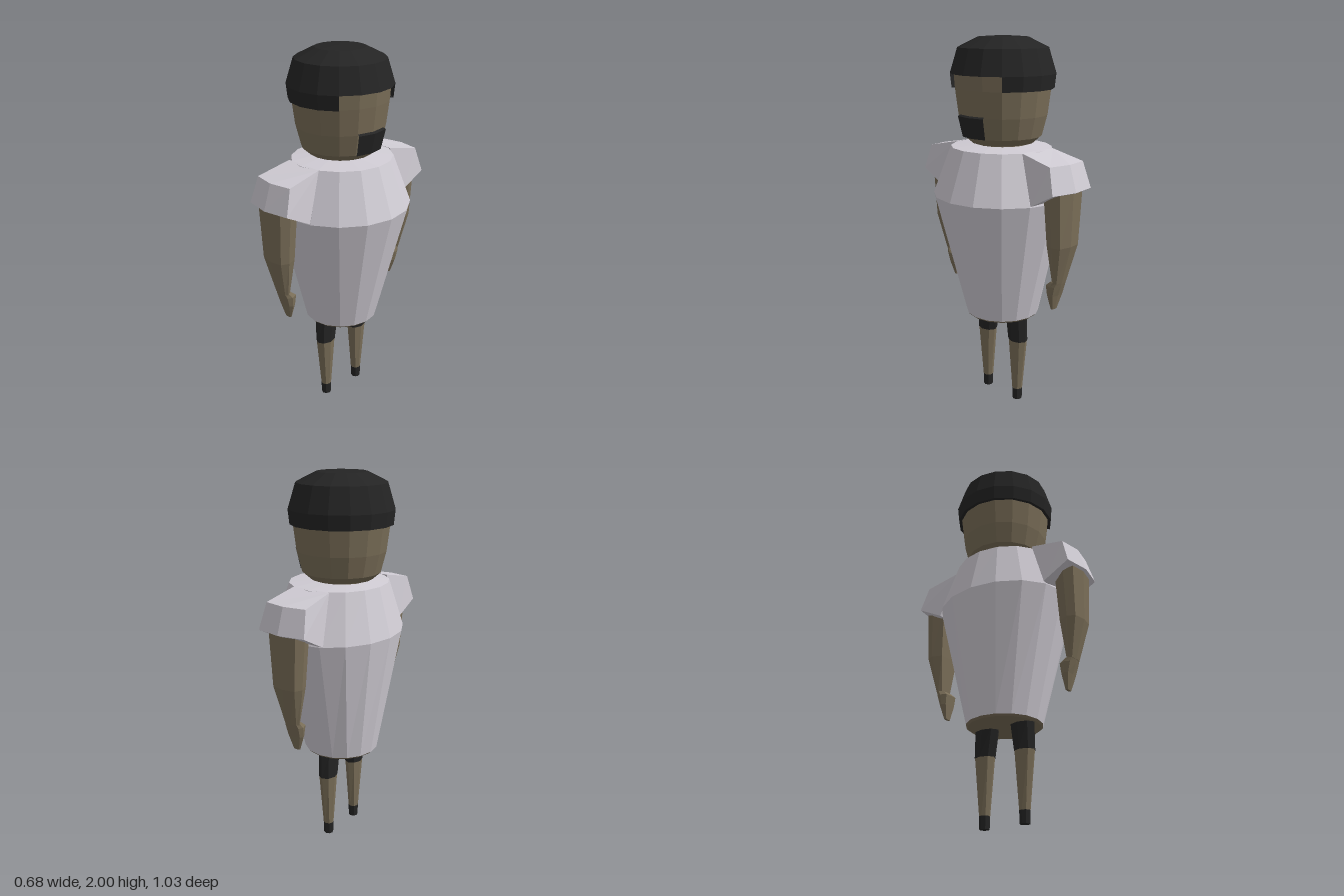
import * as THREE from 'three';

const mat = (color) => new THREE.MeshStandardMaterial({ color, flatShading: true, roughness: 0.9, side: THREE.DoubleSide });

// Joins rings of points (bottom to top) into a faceted skin, with optional end caps.
function loft(rings, { closed = true, caps = true } = {}) {
  const pos = [];
  const tri = (a, b, c) => pos.push(...a, ...b, ...c);
  const n = rings[0].length;
  for (let i = 0; i < rings.length - 1; i++) {
    for (let j = 0; j < (closed ? n : n - 1); j++) {
      const k = (j + 1) % n;
      const a = rings[i][j], b = rings[i][k], c = rings[i + 1][j], d = rings[i + 1][k];
      tri(a, c, b);
      tri(b, c, d);
    }
  }
  if (caps) {
    const lo = rings[0], hi = rings[rings.length - 1];
    for (let j = 1; j < n - 1; j++) {
      tri(lo[0], lo[j], lo[j + 1]);
      tri(hi[0], hi[j + 1], hi[j]);
    }
  }
  const g = new THREE.BufferGeometry();
  g.setAttribute('position', new THREE.Float32BufferAttribute(pos, 3));
  g.computeVertexNormals();
  return g;
}

// Ellipse ring; `back` scales the half behind the centre.
function ring(y, rx, { rz = rx, cz = 0, back = 1, sides = 16, from = 0, to = sides } = {}) {
  const pts = [];
  for (let j = from; j < (to === sides + from ? to : to + 1); j++) {
    const a = (j / sides) * Math.PI * 2;
    const c = Math.cos(a);
    pts.push([rx * c * (c < 0 ? back : 1), y, cz + rz * Math.sin(a)]);
  }
  return pts;
}

export function createModel() {
  const shirt = mat(0xd0ccd4), skin = mat(0x7a6e58), dark = mat(0x242424);
  const model = new THREE.Group();
  const body = new THREE.Group();
  body.name = 'figure';
  body.position.x = -0.032;
  model.add(body);

  const add = (name, geometry, material, parent = body) => {
    const mesh = new THREE.Mesh(geometry, material);
    mesh.name = name;
    parent.add(mesh);
  };

  // Torso: fuller on the chest side (+x)
  add('torso', loft([
    ring(0.51, 0.2),
    ring(1.18, 0.371, { back: 0.83 }),
    ring(1.435, 0.275, { back: 0.86 }),
    ring(1.447, 0.15),
  ]), shirt);
  add('torsoBase', loft([ring(0.5, 0.19), ring(0.51, 0.2)]), skin);

  // Head and neck
  add('neck', loft([ring(1.43, 0.14), ring(1.47, 0.14)]), skin);
  add('head', loft([
    ring(1.455, 0.165), ring(1.49, 0.205), ring(1.6, 0.233), ring(1.735, 0.25), ring(1.83, 0.257),
  ]), skin);

  // Hair cap, and the lower band that leaves the forehead free
  add('hairCap', loft([
    ring(1.81, 0.24), ring(1.81, 0.275), ring(1.94, 0.235), ring(1.992, 0.13), ring(2.0, 0.001),
  ]), dark);
  const band = { from: 2, to: 14 };
  add('hairBand', loft([
    ring(1.735, 0.235, band), ring(1.735, 0.267, band), ring(1.81, 0.275, band),
  ], { closed: false, caps: false }), dark);

  // Chin beard
  const chin = { from: -1, to: 1 };
  add('beard', loft([
    ring(1.488, 0.19, chin), ring(1.492, 0.222, chin), ring(1.6, 0.248, chin), ring(1.612, 0.225, chin),
  ], { closed: true }), dark);

  // Sleeve rings run round the outside from one torso edge to the other
  const sleeveRing = (wIn, yIn, zIn, wOut, yOut, zOut, zMid) => [
    [wIn, yIn, zIn], [wOut, yOut, zOut], [0, yOut, zMid], [-wOut, yOut, zOut], [-wIn, yIn, zIn],
  ];
  const sleeve = loft([
    sleeveRing(0.14, 1.185, 0.343, 0.142, 1.262, 0.49, 0.516),
    sleeveRing(0.112, 1.437, 0.255, 0.122, 1.396, 0.45, 0.472),
  ]);

  // Arm sections: height, half width, inner z, outer z
  const armRing = ([y, w, zi, zo]) => {
    const mid = (zi + zo) / 2, edge = zo - (zo - zi) * 0.12;
    return [[0.75 * w, y, zi], [w, y, mid], [0.8 * w, y, edge], [0, y, zo],
      [-0.8 * w, y, edge], [-w, y, mid], [-0.75 * w, y, zi]];
  };
  const arm = loft([
    [0.775, 0.045, 0.4, 0.437], [0.98, 0.085, 0.385, 0.492], [1.27, 0.105, 0.37, 0.5],
  ].map(armRing));
  const hand = loft([
    [0.62, 0.02, 0.377, 0.392], [0.7, 0.047, 0.368, 0.413],
    [0.755, 0.052, 0.362, 0.431], [0.78, 0.044, 0.39, 0.438],
  ].map(armRing));

  // Leg rings: height, x radius, z radius, z centre
  const legPart = (...rows) => loft(rows.map(([y, rx, rz, cz]) => ring(y, rx, { rz, cz, sides: 8 })));
  const foot = legPart([0, 0.026, 0.026, 0.12], [0.065, 0.028, 0.028, 0.12]);
  const shin = legPart([0.065, 0.028, 0.028, 0.12], [0.36, 0.044, 0.057, 0.122]);
  const trouser = legPart([0.36, 0.046, 0.059, 0.122], [0.505, 0.048, 0.071, 0.11]);

  // Both sides share the same limbs, turned half round
  for (const side of ['right', 'left']) {
    const limbs = new THREE.Group();
    limbs.name = side + 'Limbs';
    limbs.rotation.y = side === 'left' ? Math.PI : 0;
    add('sleeve', sleeve, shirt, limbs);
    add('arm', arm, skin, limbs);
    add('hand', hand, skin, limbs);
    add('foot', foot, dark, limbs);
    add('shin', shin, skin, limbs);
    add('trouserLeg', trouser, dark, limbs);
    body.add(limbs);
  }
  return model;
}
